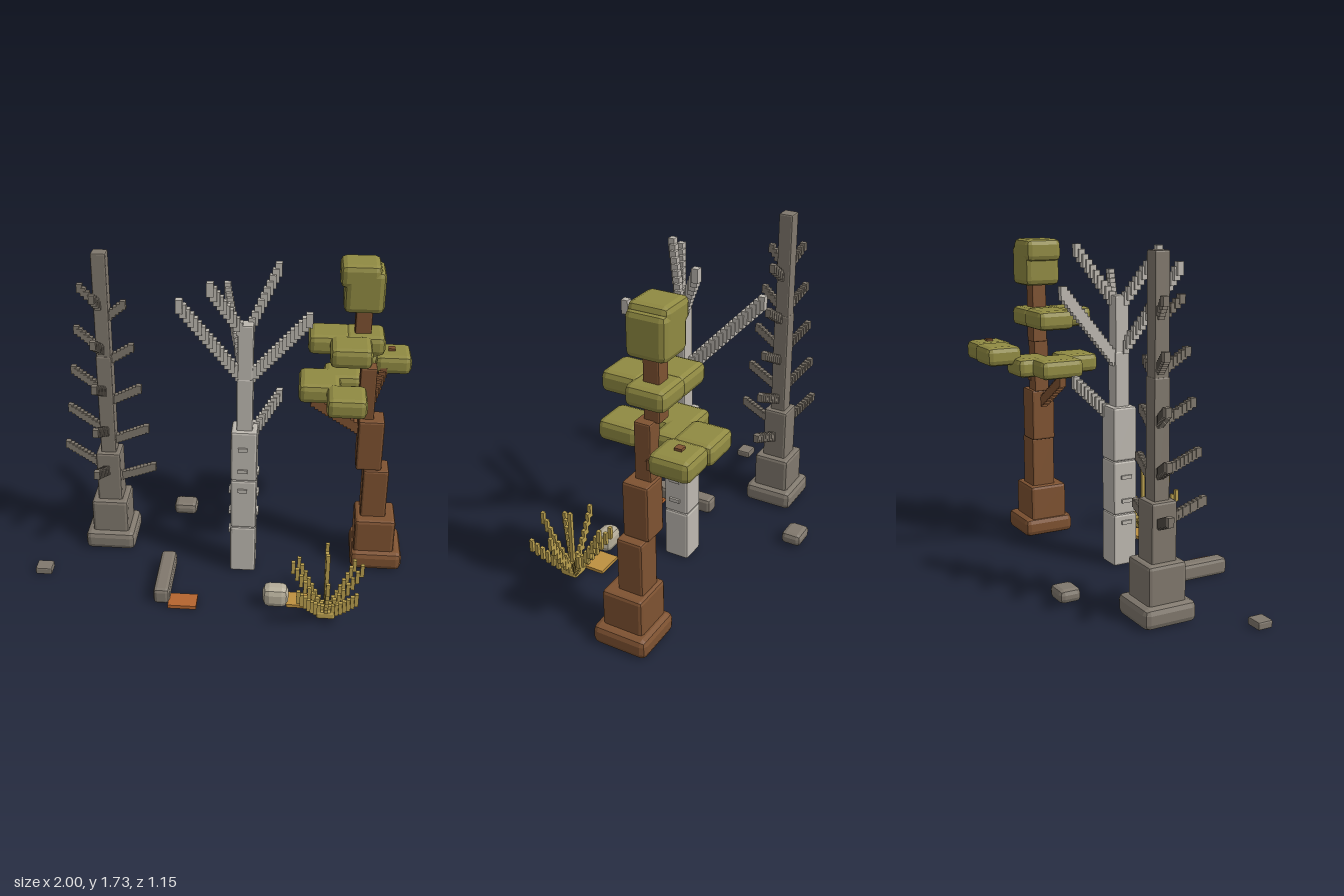
import * as THREE from 'three';
import { mergeGeometries } from 'three/addons/utils/BufferGeometryUtils.js';
import { RoundedBoxGeometry } from 'three/addons/geometries/RoundedBoxGeometry.js';

const flat = (name, color) => {
  const m = new THREE.MeshStandardMaterial({ color });
  m.name = name;
  return m;
};

export function createModel() {
  const root = new THREE.Group();
  root.name = 'woodland';
  const mat = {
    grey: flat('grey bark', 0x80786d),
    pale: flat('pale bark', 0xbdb8b0),
    brown: flat('brown bark', 0x7e5231),
    leaf: flat('olive leaves', 0x908a42),
    grass: flat('dry grass', 0xbaa04f),
    orange: flat('orange leaf', 0xb5652f),
    gold: flat('gold leaf', 0xbe9140),
    stone: flat('pale stone', 0xb5ad99),
  };

  const group = (name) => {
    const g = new THREE.Group();
    g.name = name;
    root.add(g);
    return g;
  };

  // Bevelled block given by its extents: [x0, x1, y0, y1, z0, z1]
  const block = (parent, name, material, [x0, x1, y0, y1, z0, z1], bevel = 0.014) => {
    const w = x1 - x0, h = y1 - y0, d = z1 - z0;
    let geo = bevel ? new RoundedBoxGeometry(w, h, d, 1, bevel) : new THREE.BoxGeometry(w, h, d);
    if (geo.index) geo = geo.toNonIndexed();
    geo.computeVertexNormals();
    const mesh = new THREE.Mesh(geo, material);
    mesh.name = name;
    mesh.position.set((x0 + x1) / 2, (y0 + y1) / 2, (z0 + z1) / 2);
    parent.add(mesh);
  };

  // Square column section around a centre line
  const section = (parent, name, material, x, z, half, y0, y1, bevel) =>
    block(parent, name, material, [x - half, x + half, y0, y1, z - half, z + half], bevel);

  // Stepped branch: a run of small upright blocks from one point to another
  const branch = (parent, name, material, from, to, width, height, step = 0.02) => {
    const a = new THREE.Vector3(...from), b = new THREE.Vector3(...to);
    const n = Math.max(2, Math.round(Math.hypot(b.x - a.x, b.z - a.z) / step));
    const parts = [];
    for (let i = 0; i <= n; i++) {
      const p = a.clone().lerp(b, i / n);
      parts.push(new THREE.BoxGeometry(width, height, width).translate(p.x, p.y, p.z));
    }
    const mesh = new THREE.Mesh(mergeGeometries(parts), material);
    mesh.name = name;
    parent.add(mesh);
  };

  // Dead tree: flared foot, narrowing trunk, five tiers of three branches
  const dead = group('deadTree');
  const dx = -0.63, dz = -0.225;
  section(dead, 'foot', mat.grey, dx, dz, 0.14, 0, 0.105, 0.03);
  section(dead, 'lowerTrunk', mat.grey, dx, dz, 0.102, 0.08, 0.295, 0.018);
  section(dead, 'middleTrunk', mat.grey, dx, dz, 0.068, 0.28, 0.585, 0.012);
  section(dead, 'upperTrunk', mat.grey, dx, dz, 0.042, 0.57, 1.16, 0.008);
  section(dead, 'topTrunk', mat.grey, dx, dz, 0.039, 1.15, 1.725, 0.008);
  for (let i = 0; i < 5; i++) {
    const s = i * 0.0325, y = i * 0.239;
    branch(dead, 'rightBranch', mat.grey, [dx, y + 0.455, dz], [-0.88 + s, y + 0.555, -0.31 + s * 0.35], 0.03, 0.045);
    branch(dead, 'leftBranch', mat.grey, [dx, y + 0.395, dz], [-0.385 - s, y + 0.495, -0.20], 0.03, 0.045);
    branch(dead, 'frontBranch', mat.grey, [dx, y + 0.455, dz], [-0.66, y + 0.55, 0.005 - s], 0.03, 0.045);
  }

  // Bare pale tree
  const bare = group('paleTree');
  const bx = 0.13, bz = -0.015;
  for (const [y0, y1] of [[0, 0.285], [0.285, 0.578], [0.578, 0.868]])
    section(bare, 'trunk', mat.pale, bx, bz, 0.069, y0, y1, 0.012);
  section(bare, 'upperTrunk', mat.pale, bx, bz, 0.042, 0.86, 1.16, 0.008);
  section(bare, 'topTrunk', mat.pale, bx, bz, 0.04, 1.15, 1.45, 0.008);
  const limbs = [
    [1.13, [-0.18, 1.60, 0.16]], [1.38, [-0.035, 1.675, 0.125]],
    [1.38, [0.28, 1.675, -0.18]], [1.13, [0.44, 1.525, 0.10]],
    [1.08, [0.01, 1.485, -0.39]], [0.77, [0.30, 0.975, -0.185]],
  ];
  for (const [y, tip] of limbs) branch(bare, 'branch', mat.pale, [bx, y, bz], tip, 0.034, 0.07);
  // Small bark ridges
  for (const y of [0.35, 0.47, 0.6]) {
    block(bare, 'barkRidge', mat.pale, [0.19, 0.21, y, y + 0.02, -0.04, 0.02], 0);
    block(bare, 'barkRidge', mat.pale, [0.1, 0.15, y + 0.16, y + 0.18, 0.04, 0.064], 0);
    block(bare, 'barkRidge', mat.pale, [0.05, 0.07, y - 0.12, y - 0.1, -0.04, 0.02], 0);
  }

  // Leaning brown tree
  const leafy = group('leafyTree');
  block(leafy, 'foot', mat.brown, [0.72, 1.0, 0, 0.105, -0.305, -0.01], 0.03);
  section(leafy, 'lowerTrunk', mat.brown, 0.845, -0.155, 0.11, 0.08, 0.295, 0.018);
  section(leafy, 'trunk', mat.brown, 0.832, -0.172, 0.069, 0.28, 0.578, 0.012);
  section(leafy, 'trunk', mat.brown, 0.79, -0.185, 0.069, 0.575, 0.868, 0.012);
  section(leafy, 'upperTrunk', mat.brown, 0.758, -0.195, 0.043, 0.86, 1.16, 0.008);
  section(leafy, 'topTrunk', mat.brown, 0.715, -0.22, 0.042, 1.15, 1.5, 0.008);
  branch(leafy, 'rightBranch', mat.brown, [0.76, 0.775, -0.185], [0.485, 0.95, -0.18], 0.036, 0.055);
  branch(leafy, 'leftBranch', mat.brown, [0.76, 0.9, -0.17], [0.89, 1.13, -0.44], 0.036, 0.055);

  // Leaf pads: [x0, x1, z0, z1] in layers of given height
  const layers = [
    ['lowLeaves', 0.978, 1.083, [[0.4, 0.62, -0.33, -0.08], [0.545, 0.75, -0.13, 0.08], [0.53, 0.73, -0.41, -0.2]]],
    ['backLeaves', 1.04, 1.145, [[0.61, 0.825, -0.555, -0.355], [0.8, 0.995, -0.54, -0.335]]],
    ['highLeaves', 1.24, 1.345, [[0.44, 0.66, -0.325, -0.115], [0.62, 0.83, -0.325, -0.12], [0.55, 0.76, -0.16, 0.045]]],
  ];
  for (const [name, y0, y1, pads] of layers)
    for (const [x0, x1, z0, z1] of pads) block(leafy, name, mat.leaf, [x0, x1, y0, y1, z0, z1], 0.03);
  block(leafy, 'crownTop', mat.leaf, [0.585, 0.787, 1.6, 1.72, -0.325, -0.12], 0.03);
  block(leafy, 'crown', mat.leaf, [0.608, 0.81, 1.468, 1.69, -0.325, -0.12], 0.03);

  // Dry grass tuft: eight stepped blades rising outwards, one upright
  const tuft = group('grassTuft');
  const gx = 0.585, gz = 0.39;
  section(tuft, 'tuftBase', mat.grass, gx, gz, 0.05, 0, 0.045, 0.012);
  section(tuft, 'middleBlade', mat.grass, gx, gz, 0.01, 0.02, 0.37, 0);
  for (let i = 0; i < 8; i++) {
    const a = i * Math.PI / 4, reach = i % 2 ? 0.205 : 0.175, rise = i % 2 ? 0.19 : 0.265;
    for (let k = 1; k <= 8; k++) {
      const t = k / 8, r = reach * t, y = 0.02 + rise * Math.pow(t, 1.3);
      section(tuft, 'blade', mat.grass, gx + r * Math.cos(a), gz + r * Math.sin(a), 0.01, Math.max(0, y - 0.035), y + 0.035, 0);
    }
  }

  // Ground pieces
  const ground = group('groundPieces');
  block(ground, 'log', mat.grey, [-0.32, -0.235, 0, 0.09, -0.385 + 0.4, 0.385], 0.02);
  block(ground, 'backStone', mat.grey, [-0.31, -0.175, 0.01, 0.08, -0.575, -0.46], 0.025);
  block(ground, 'sideStone', mat.grey, [-1.0, -0.91, 0, 0.04, 0.1, 0.18], 0.008);
  block(ground, 'paleStone', mat.stone, [0.255, 0.39, 0.015, 0.13, 0.295, 0.395], 0.035);
  block(ground, 'orangeLeaf', mat.orange, [-0.24, -0.09, 0, 0.02, 0.31, 0.415], 0);
  block(ground, 'goldLeaf', mat.gold, [0.38, 0.53, 0, 0.018, 0.245, 0.355], 0);

  return root;
}
